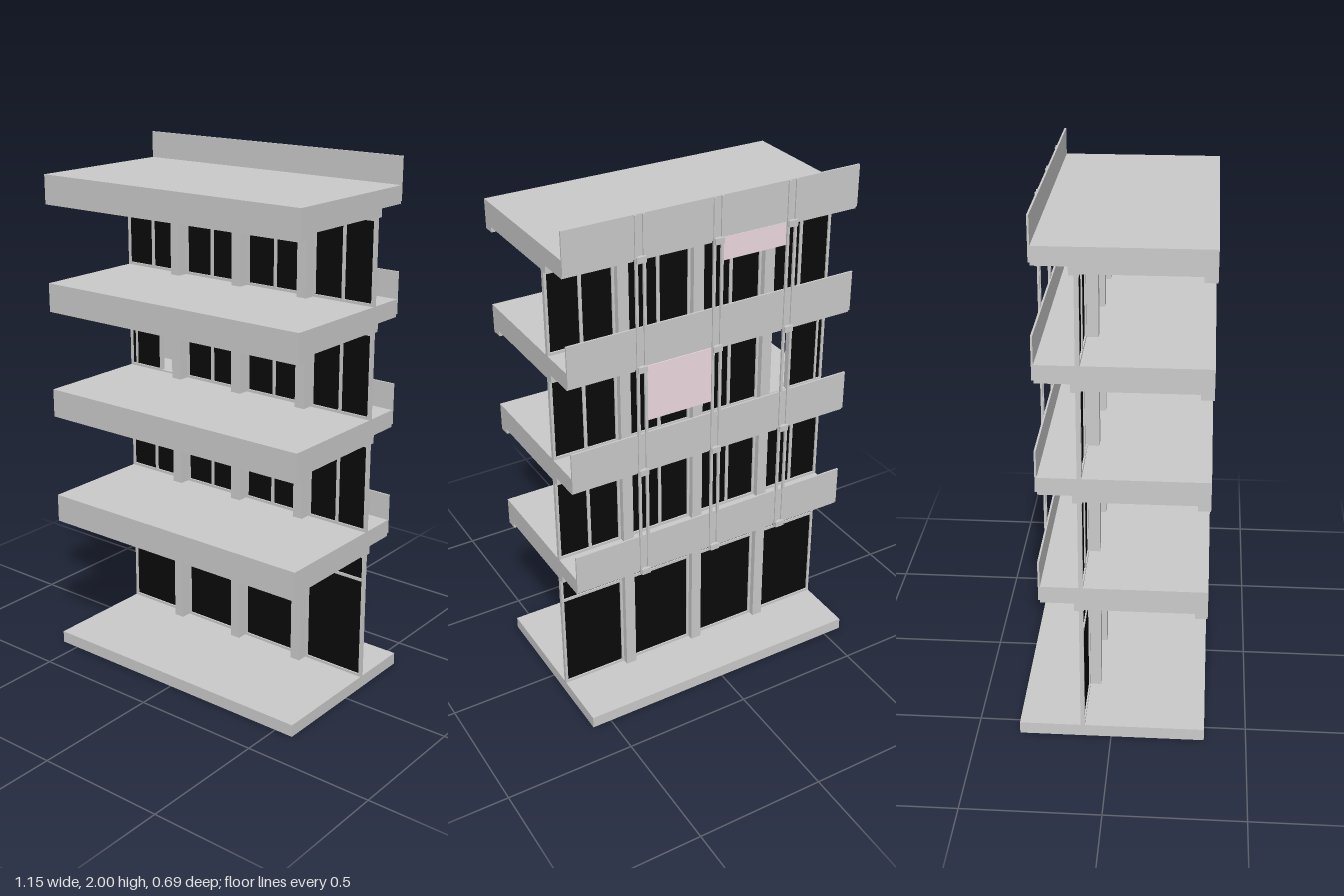
import * as THREE from 'three';

const W = 0.575;                              // half width
const FLOORS = [0.645, 1.08, 1.495, 1.9];     // slab tops
const COLUMNS = [-0.298, -0.002, 0.296];
const GLASS_Z = -0.105;

const grey = new THREE.MeshStandardMaterial({ color: 0xcccccc });
const black = new THREE.MeshStandardMaterial({ color: 0x0a0a0a });
const pink = new THREE.MeshStandardMaterial({ color: 0xf0dce2 });

// Box given by its extents on each axis
function box(parent, name, [x0, x1], [y0, y1], [z0, z1], material = grey) {
  const mesh = new THREE.Mesh(new THREE.BoxGeometry(x1 - x0, y1 - y0, z1 - z0), material);
  mesh.position.set((x0 + x1) / 2, (y0 + y1) / 2, (z0 + z1) / 2);
  mesh.name = name;
  parent.add(mesh);
  return mesh;
}

function group(parent, name) {
  const g = new THREE.Group();
  g.name = name;
  parent.add(g);
  return g;
}

// The four window bays between the columns
const edges = [-W, ...COLUMNS, W];
const BAYS = [0, 1, 2, 3].map(i => [
  edges[i] + (i === 0 ? 0 : 0.02),
  edges[i + 1] - (i === 3 ? 0 : 0.02),
]);

// Slab with front fascia, ribbed ceiling, rear walkway and parapet panel
function addFloor(parent, top) {
  const g = group(parent, 'floor');
  const under = top - 0.045;
  box(g, 'slab', [-W, W], [under, top], [-0.25, 0.345]);
  box(g, 'frontFascia', [-W, W], [top - 0.11, under], [0.3, 0.345]);
  box(g, 'windowBeam', [-W, W], [top - 0.095, under], [-0.13, -0.095]);
  const ribs = 38;
  const ribGeometry = new THREE.BoxGeometry(0.012, 0.045, 0.4);
  const ribMesh = new THREE.InstancedMesh(ribGeometry, grey, 0);
  ribMesh.geometry.dispose();
  for (let i = 0; i < ribs; i++) {
    const x = -W + 0.006 + (2 * W - 0.012) * i / (ribs - 1);
    box(g, 'ceilingRib', [x - 0.006, x + 0.006], [top - 0.09, under], [-0.098, 0.302]);
  }
  for (const [a, b] of BAYS) {
    box(g, 'walkwaySoffit', [a, b], [top - 0.065, under], [-0.25, -0.128]);
  }
  box(g, 'parapetPanel', [-W, W], [top - 0.055, top + 0.1], [-0.257, -0.25]);
  for (const x of COLUMNS) {
    box(g, 'railBracket', [x - 0.018, x + 0.018], [top - 0.068, top - 0.045], [-0.27, -0.25]);
  }
}

// Framed pane with a glass sheet
function addWindow(parent, [x0, x1], [y0, y1], z = GLASS_Z) {
  const g = group(parent, 'window');
  const f = 0.01, depth = [z - 0.008, z + 0.008];
  box(g, 'glass', [x0 + f, x1 - f], [y0 + f, y1 - f], [z - 0.002, z + 0.002], black);
  box(g, 'frameLeft', [x1 - f, x1], [y0, y1], depth);
  box(g, 'frameRight', [x0, x0 + f], [y0, y1], depth);
  box(g, 'frameBottom', [x0 + f, x1 - f], [y0, y0 + f], depth);
  box(g, 'frameTop', [x0 + f, x1 - f], [y1 - f, y1], depth);
  return g;
}

export function createModel() {
  const model = new THREE.Group();
  model.name = 'building';

  box(model, 'basePlate', [-W, W], [0, 0.047], [-0.34, 0.345]);
  FLOORS.forEach(top => addFloor(model, top));

  // Columns through all storeys
  for (const x of COLUMNS) {
    box(model, 'column', [x - 0.021, x + 0.021], [0.047, 1.86], [-0.136, -0.056]);
  }

  // Glazing, storey by storey
  [0.047, ...FLOORS.slice(0, 3)].forEach((bottom, storey) => {
    const g = group(model, 'glazing');
    const top = FLOORS[storey] - 0.095;
    const depth = [GLASS_Z - 0.007, GLASS_Z + 0.007];
    BAYS.forEach((bay, i) => {
      if (storey === 2 && i === 0) {
        // Bay with its sliding sash pushed open
        addWindow(g, [-W, -0.41], [bottom, top]);
        box(g, 'slidSash', [-0.548, -0.54], [bottom, top], depth);
        box(g, 'openingHead', [-0.41, bay[1]], [top - 0.01, top], depth);
        box(g, 'openingSill', [-0.41, bay[1]], [bottom, bottom + 0.006], depth);
        return;
      }
      addWindow(g, bay, [bottom, top]);
      if (storey === 0) {
        box(g, 'transom', bay, [0.443, 0.454], depth);
      } else {
        const mid = (bay[0] + bay[1]) / 2;
        box(g, 'mullion', [mid - 0.006, mid + 0.006], [bottom, top], depth);
      }
    });
  });

  // Paired rails on the rear face
  for (const x of COLUMNS) {
    for (const side of [-1, 1]) {
      const c = x + side * 0.015;
      box(model, 'rearRail', [c - 0.005, c + 0.005], [0.577, 1.998], [-0.262, -0.254]);
    }
  }

  // Roller blinds hung between the rails
  box(model, 'longBlind', [0.02, 0.276], [1.23, 1.445], [-0.26, -0.256], pink);
  box(model, 'shortBlind', [-0.276, -0.022], [1.765, 1.85], [-0.258, -0.254], pink);

  return model;
}
